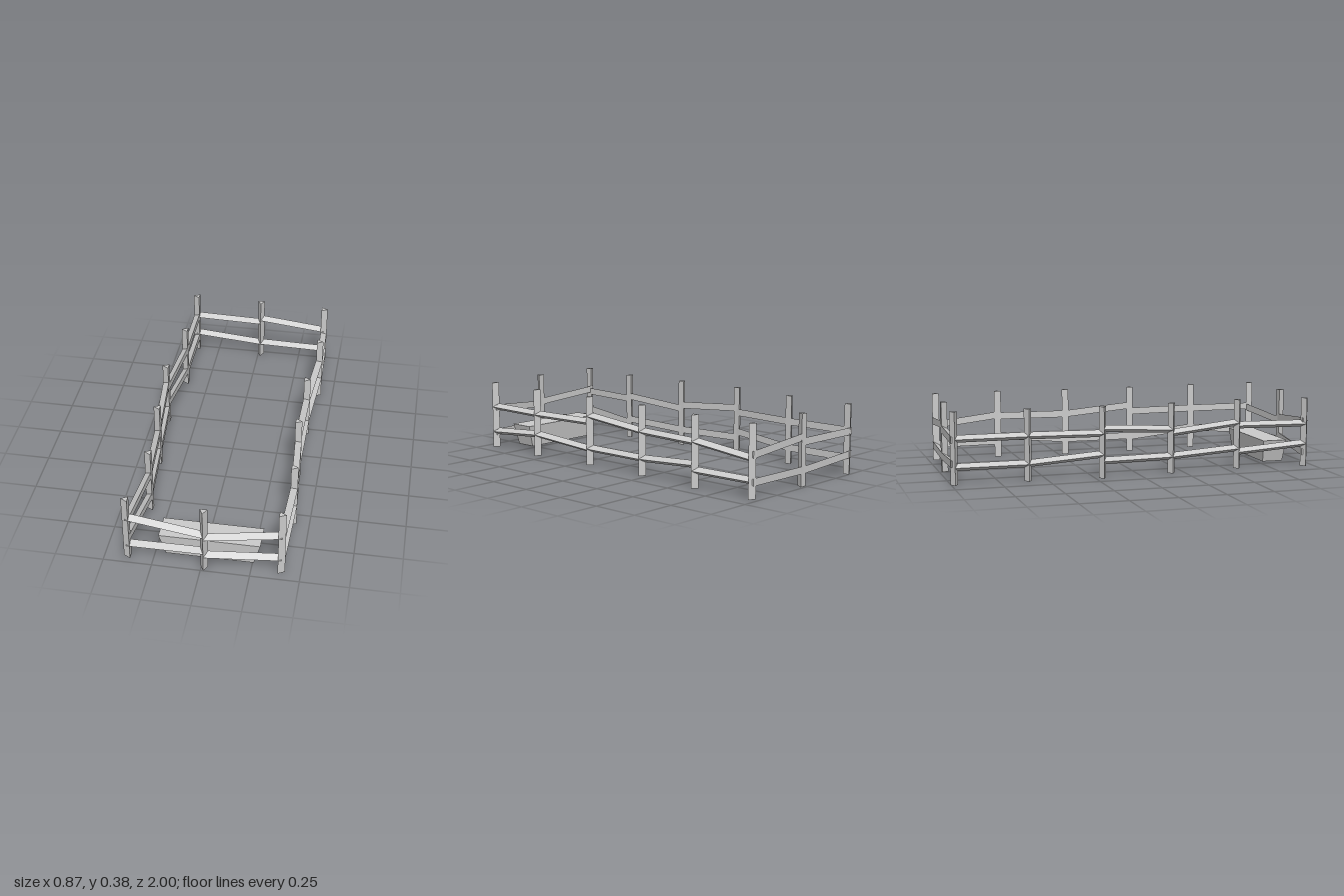
import * as THREE from 'three';

const material = new THREE.MeshStandardMaterial({ color: 0xcccccc, flatShading: true });
const R = 0.0175; // half thickness of the timber

// Triangular bar from a to b along a main axis, its ridge pointing to "out"
function bar(name, a, b, axis, out) {
  const section = new THREE.Shape([
    new THREE.Vector2(R, 0), new THREE.Vector2(-R, R * 1.1), new THREE.Vector2(-R, -R * 1.1),
  ]);
  const geometry = new THREE.ExtrudeGeometry(section, { depth: 1, bevelEnabled: false });
  const side = axis.clone().cross(out);
  const pos = geometry.attributes.position;
  const p = new THREE.Vector3();
  for (let i = 0; i < pos.count; i++) {
    p.lerpVectors(a, b, pos.getZ(i))
      .addScaledVector(out, pos.getX(i))
      .addScaledVector(side, pos.getY(i));
    pos.setXYZ(i, p.x, p.y, p.z);
  }
  geometry.computeVertexNormals();
  const mesh = new THREE.Mesh(geometry, material);
  mesh.name = name;
  return mesh;
}

const X = new THREE.Vector3(1, 0, 0);
const Y = new THREE.Vector3(0, 1, 0);
const Z = new THREE.Vector3(0, 0, 1);

// One side of the fence: points are [x, z]; rails give [start, end] heights per span
function fenceRun(name, points, axis, out, upper, lower, postIndices) {
  const run = new THREE.Group();
  run.name = name;
  for (const i of postIndices) {
    const [x, z] = points[i];
    run.add(bar('post', new THREE.Vector3(x, 0, z), new THREE.Vector3(x, 0.376, z), Y, out));
  }
  for (const [railName, heights] of [['upperRail', upper], ['lowerRail', lower]]) {
    heights.forEach(([h0, h1], i) => {
      const a = new THREE.Vector3(points[i][0], h0, points[i][1]);
      const b = new THREE.Vector3(points[i + 1][0], h1, points[i + 1][1]);
      run.add(bar(railName, a, b, axis, out));
    });
  }
  return run;
}

// Solid trough, narrower at the foot
function trough() {
  const geometry = new THREE.BoxGeometry(0.52, 0.122, 0.137);
  const pos = geometry.attributes.position;
  for (let i = 0; i < pos.count; i++) {
    if (pos.getY(i) < 0) {
      pos.setX(i, pos.getX(i) * 0.87);
      pos.setZ(i, pos.getZ(i) * 0.85);
    }
  }
  geometry.computeVertexNormals();
  const mesh = new THREE.Mesh(geometry, material);
  mesh.name = 'trough';
  mesh.position.set(0.03, 0.061, 0.842);
  return mesh;
}

export function createModel() {
  const model = new THREE.Group();
  model.name = 'paddock';

  // Long sides, listed from back to front
  const left = [[0.403, -0.955], [0.415, -0.6], [0.387, -0.21], [0.387, 0.18], [0.415, 0.57], [0.403, 0.94]];
  const right = [[-0.385, -0.983], [-0.385, -0.6], [-0.418, -0.21], [-0.385, 0.18], [-0.35, 0.57], [-0.385, 0.95]];
  const all = [0, 1, 2, 3, 4, 5];
  model.add(fenceRun('leftFence', left, Z, X,
    [[0.2, 0.24], [0.235, 0.235], [0.235, 0.27], [0.235, 0.235], [0.235, 0.235]],
    [[0.09, 0.09], [0.12, 0.09], [0.09, 0.09], [0.085, 0.12], [0.12, 0.09]], all));
  model.add(fenceRun('rightFence', right, Z, X.clone().negate(),
    [[0.235, 0.235], [0.235, 0.235], [0.26, 0.235], [0.215, 0.25], [0.235, 0.235]],
    [[0.09, 0.09], [0.09, 0.125], [0.09, 0.09], [0.09, 0.11], [0.09, 0.125]], all));

  // Short ends, listed from the right corner to the left one
  model.add(fenceRun('frontFence', [right[5], [0.015, 0.982], left[5]], X, Z,
    [[0.25, 0.215], [0.2, 0.23]], [[0.078, 0.11], [0.086, 0.086]], [1]));
  model.add(fenceRun('backFence', [right[0], [0.015, -0.968], left[0]], X, Z,
    [[0.232, 0.232], [0.257, 0.222]], [[0.11, 0.085], [0.086, 0.086]], [1]));

  model.add(trough());
  return model;
}
